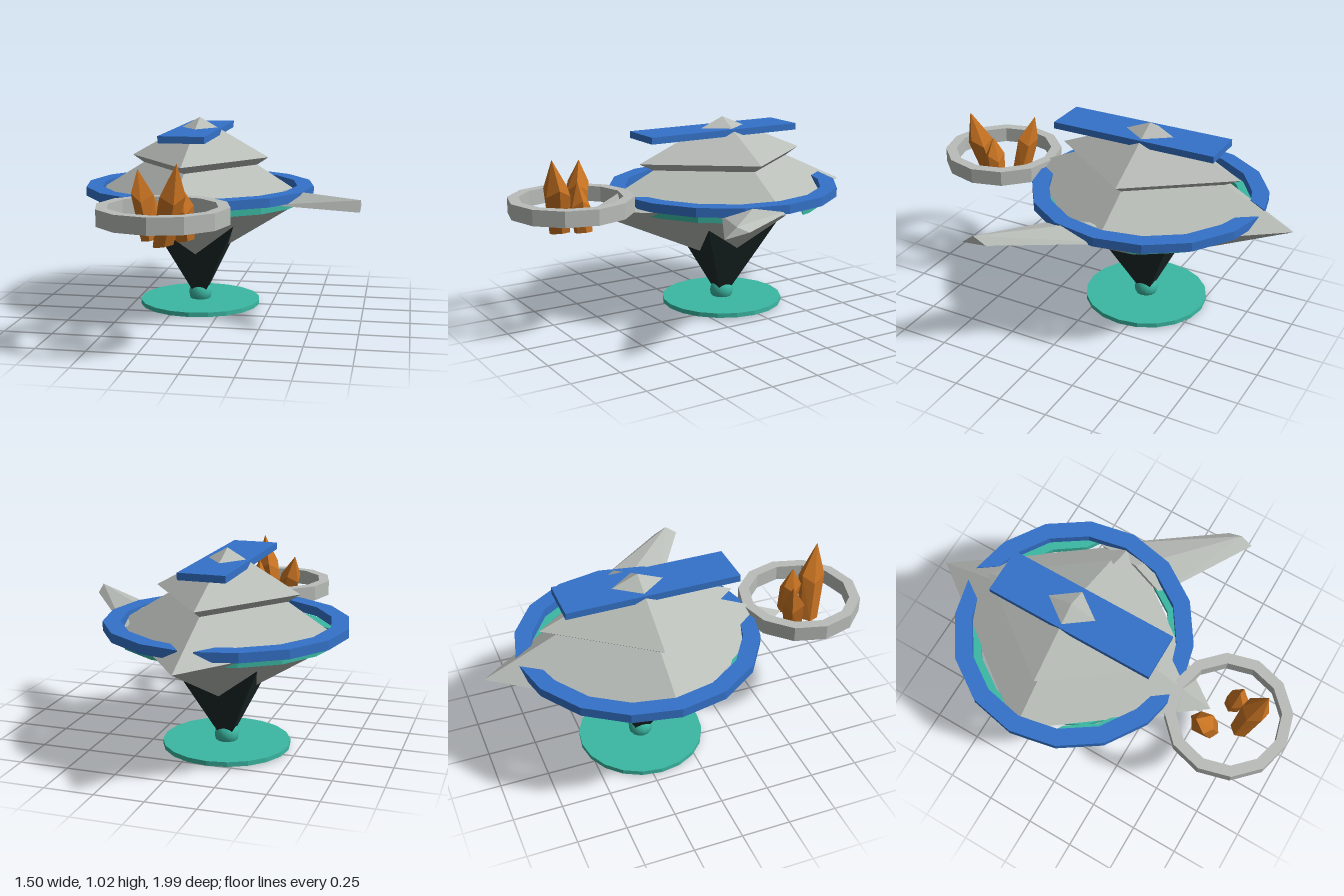
import * as THREE from 'three';
import { ConvexGeometry } from 'three/addons/geometries/ConvexGeometry.js';

const V = (x, y, z) => new THREE.Vector3(x, y, z);
const paint = (name, color) => {
  const m = new THREE.MeshStandardMaterial({ color });
  m.name = name;
  return m;
};

// Faceted normals
function flat(geometry) {
  const g = geometry.index ? geometry.toNonIndexed() : geometry;
  g.computeVertexNormals();
  return g;
}

// Four-sided turned solid, profile listed from bottom to top
function squareLathe(profile) {
  return flat(new THREE.LatheGeometry(profile.map(([r, y]) => new THREE.Vector2(r, y)), 4));
}

// Horizontal slab from an outline in x and z, with its top at y = 0
function slab(shape, depth) {
  const g = new THREE.ExtrudeGeometry(shape, { depth, bevelEnabled: false });
  return g.rotateX(Math.PI / 2);
}

// Faceted arc outline; angles in degrees
function arcShape(outerR, outerAngles, innerR, innerAngles) {
  const at = (r) => (deg) => {
    const a = THREE.MathUtils.degToRad(deg);
    return new THREE.Vector2(r * Math.cos(a), r * Math.sin(a));
  };
  return new THREE.Shape([
    ...outerAngles.map(at(outerR)),
    ...innerAngles.map(at(innerR)).reverse(),
  ]);
}

// Crystal with a narrow foot, wide shoulder and pointed tip
function crystal(foot, footR, shoulder, shoulderR, tip, turn) {
  const pts = [tip];
  for (let i = 0; i < 6; i++) {
    const a = turn + (i * Math.PI) / 3;
    const c = Math.cos(a), s = Math.sin(a);
    const lift = (i % 2) * 0.035;
    pts.push(V(foot.x + footR * c, foot.y + 0.008 * (1 + c), foot.z + footR * s));
    pts.push(V(shoulder.x + shoulderR * c, shoulder.y - lift, shoulder.z + shoulderR * s));
  }
  return new ConvexGeometry(pts);
}

export function createModel() {
  const stone = paint('pale grey stone', 0xb9bdb8);
  const dark = paint('dark metal', 0x1c2928);
  const blue = paint('blue panel', 0x3472c8);
  const teal = paint('teal trim', 0x3bb8a3);
  const amber = paint('amber crystal', 0xc87322);

  const model = new THREE.Group();
  model.name = 'floatingStation';
  const add = (name, geometry, material, x = 0, y = 0, z = 0, parent = model) => {
    const mesh = new THREE.Mesh(geometry, material);
    mesh.name = name;
    mesh.position.set(x, y, z);
    parent.add(mesh);
    return mesh;
  };
  const cx = -0.137, cz = -0.207;

  // Tiered diamond hull
  const hull = squareLathe([[0, 0.24], [0.583, 0.605], [0.31, 0.776], [0.37, 0.816], [0, 1.025]]);
  hull.scale(1, 1.355, 1);
  hull.scale(1, 1 / 1.355, 1.355);
  add('hull', flat(hull), stone, cx, 0, cz);

  // Tapering support that bites into the hull
  const support = squareLathe([[0, 0], [0.274 * Math.SQRT2, 0.6], [0, 0.6]]);
  support.rotateY(Math.PI / 4);
  add('support', support, dark, cx, 0, cz);

  // Base
  add('baseDisc', flat(new THREE.CylinderGeometry(0.325, 0.325, 0.024, 20)), teal, cx, 0.022, cz);
  add('baseBall', new THREE.SphereGeometry(0.063, 12, 8), teal, cx, 0.064, cz);

  // Roof plate
  add('roofPlate', new THREE.BoxGeometry(0.235, 0.035, 0.888), blue, cx, 0.953, -0.16);

  // Two halves of the outer ring
  const mid = [-67.5, -45, -22.5, 0, 22.5, 45, 67.5];
  const half = arcShape(0.613, [-86.5, ...mid, 86.5], 0.525, [-78.5, ...mid, 78.5]);
  for (const [name, turn] of [['leftRingHalf', 0], ['rightRingHalf', Math.PI]]) {
    add(name, slab(half, 0.047), blue, cx, 0.667, -0.213).rotation.y = turn;
  }

  // Four trim arcs under the ring
  const trim = arcShape(0.545, [5, 22.5, 45, 67.5, 74], 0.49, [18, 22.5, 45, 66]);
  for (let i = 0; i < 4; i++) {
    const g = slab(trim, 0.034);
    add('trimArc' + (i + 1), g, teal, cx, 0.61, cz).rotation.y = (i * Math.PI) / 2;
  }

  // Swept side fin
  add('sideFin', new ConvexGeometry([
    V(0.36, 0.615, -0.35), V(0.28, 0.605, 0.06), V(0.33, 0.657, -0.12),
    V(0.747, 0.645, 0.21), V(0.747, 0.63, 0.345), V(0.747, 0.68, 0.28),
  ]), stone);

  // Front garden: open ring with crystals
  const garden = new THREE.Group();
  garden.name = 'crystalGarden';
  model.add(garden);
  const angles = Array.from({ length: 12 }, (_, i) => i * 30);
  const ring = arcShape(0.316, angles, 0, []);
  ring.holes.push(arcShape(0.26, angles, 0, []));
  add('gardenRing', slab(ring, 0.08), stone, -0.138, 0.695, 0.68, garden);
  add('tallCrystal', crystal(V(-0.12, 0.515, 0.755), 0.052, V(-0.07, 0.76, 0.785), 0.068,
    V(-0.04, 0.91, 0.82), 0.2), amber, 0, 0, 0, garden);
  add('leftCrystal', crystal(V(-0.205, 0.515, 0.62), 0.052, V(-0.25, 0.735, 0.59), 0.062,
    V(-0.285, 0.845, 0.565), 0.5), amber, 0, 0, 0, garden);
  add('smallCrystal', crystal(V(-0.035, 0.525, 0.665), 0.045, V(-0.045, 0.7, 0.68), 0.055,
    V(-0.05, 0.788, 0.685), 0.1), amber, 0, 0, 0, garden);

  return model;
}
